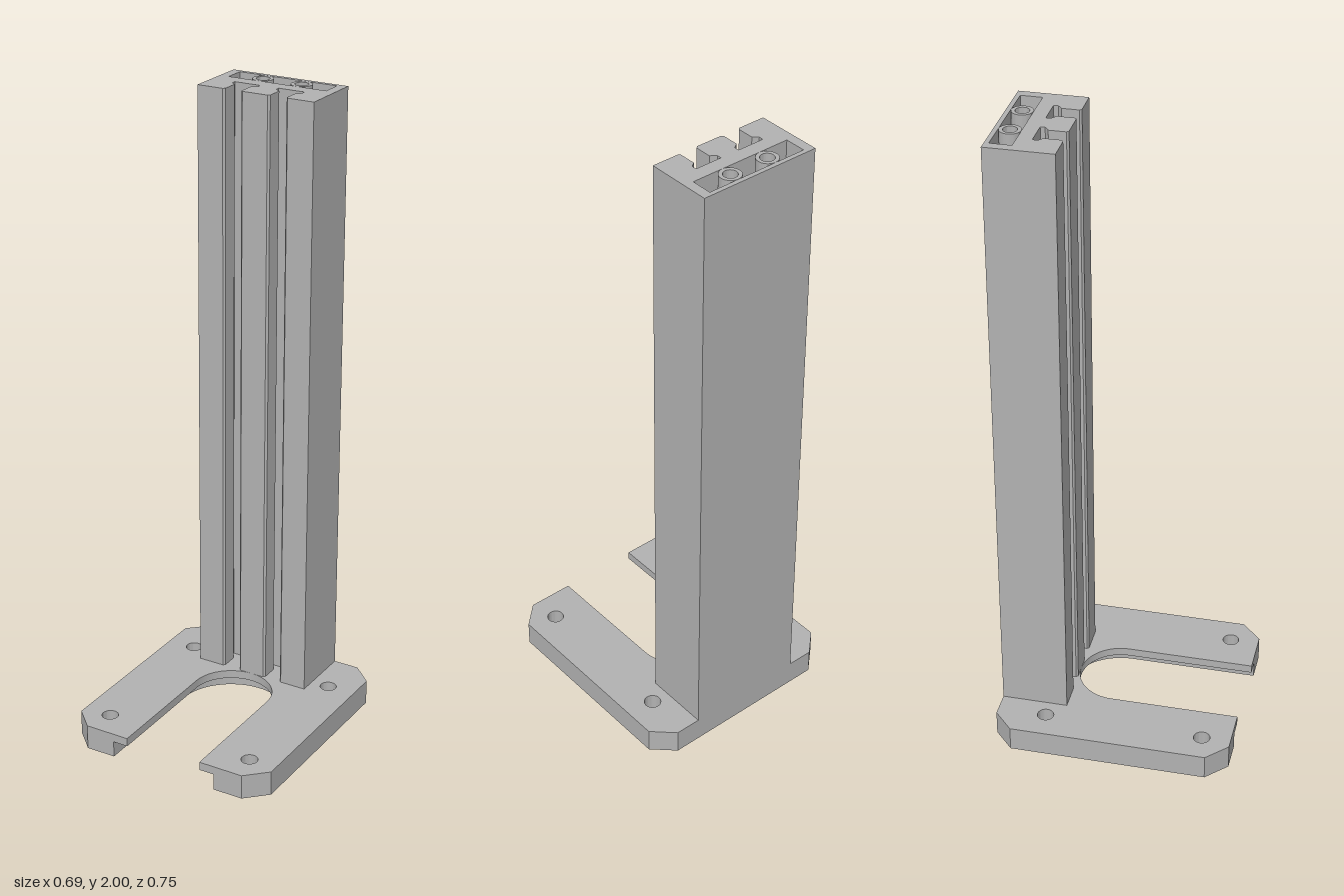
import * as THREE from 'three';
import { mergeGeometries, toCreasedNormals } from 'three/addons/utils/BufferGeometryUtils.js';

// Plan points are [x, s] with s = -z. Outlines run anticlockwise seen from above.
const V = (list) => list.map(([x, s]) => new THREE.Vector2(x, s));

function arc(x, s, r, from = 0, to = Math.PI * 2, n = 40) {
  const pts = [];
  for (let i = 0; i <= n; i++) {
    const a = from + ((to - from) * i) / n;
    pts.push([x + r * Math.cos(a), s + r * Math.sin(a)]);
  }
  return pts;
}
const circle = (x, s, r) => arc(x, s, r).slice(0, -1);
const rev = (pts) => [...pts].reverse();

// Upright wall along a path; it faces the right-hand side of travel
function wall(pts, y0, y1, closed = true) {
  const pos = [];
  const count = closed ? pts.length : pts.length - 1;
  for (let i = 0; i < count; i++) {
    const [ax, as] = pts[i], [bx, bs] = pts[(i + 1) % pts.length];
    pos.push(ax, y0, -as, bx, y0, -bs, bx, y1, -bs);
    pos.push(ax, y0, -as, bx, y1, -bs, ax, y1, -as);
  }
  const g = new THREE.BufferGeometry();
  g.setAttribute('position', new THREE.Float32BufferAttribute(pos, 3));
  return g;
}

// Level face with holes, facing up or down
function cap(pts, y, holes = [], down = false) {
  const shape = new THREE.Shape(V(pts));
  shape.holes = holes.map((h) => new THREE.Path(V(h)));
  const g = new THREE.ShapeGeometry(shape);
  if (down) g.setIndex(Array.from(g.index.array).reverse());
  const flat = g.rotateX(-Math.PI / 2).translate(0, y, 0).toNonIndexed();
  flat.deleteAttribute('uv');
  flat.deleteAttribute('normal');
  return flat;
}

export function createModel() {
  const model = new THREE.Group();
  const grey = new THREE.MeshStandardMaterial({ color: 0xb2b2b2 });
  grey.name = 'grey plastic';
  const add = (name, parts) => {
    const mesh = new THREE.Mesh(toCreasedNormals(mergeGeometries(parts), 0.5), grey);
    mesh.name = name;
    model.add(mesh);
  };

  // Base plate: chamfered corners, stepped U-shaped slot, four screw holes
  const F = -0.374, B = 0.374, W = 0.343, top = 0.08, ledge = 0.053;
  const narrow = 0.13, wide = 0.18;
  const slot = (r) => [[r, F], ...arc(0, 0.035, r, 0, Math.PI), [-r, F]];
  const rim = [[0.277, F], [W, -0.31], [W, 0.312], [0.277, B],
    [-0.277, B], [-W, 0.312], [-W, -0.31], [-0.277, F]];
  const screwHoles = [];
  for (const x of [-0.252, 0.252]) for (const s of [0.22, -0.283]) screwHoles.push(circle(x, s, 0.026));
  add('basePlate', [
    cap([...rim, ...rev(slot(narrow))], top, screwHoles),
    cap([...rim, ...rev(slot(wide))], 0, screwHoles, true),
    cap([...slot(wide), ...rev(slot(narrow))], ledge, [], true),
    wall([[wide, F], ...rim, [-wide, F]], 0, top, false),
    wall([[narrow, F], [wide, F]], ledge, top, false),
    wall([[-wide, F], [-narrow, F]], ledge, top, false),
    wall(rev(slot(wide)), 0, ledge, false),
    wall(rev(slot(narrow)), ledge, top, false),
    ...screwHoles.map((h) => wall(rev(h), 0, top)),
  ]);

  // Column with two T-shaped channels in its front
  const front = 0.165, half = 0.194, H = 2;
  const channel = [[-0.108, front], [-0.102, front + 0.006], [-0.102, 0.223], [-0.113, 0.231],
    [-0.117, 0.236], [-0.117, 0.25], [-0.031, 0.25], [-0.031, 0.236], [-0.036, 0.231],
    [-0.048, 0.223], [-0.048, front + 0.006], [-0.042, front]];
  const mirrored = rev(channel.map(([x, s]) => [-x, s]));
  const outline = [[-half, front], ...channel, ...mirrored, [half, front], [half, B], [-half, B]];

  // Socket sunk in the column top, with pin holes in its floor
  const floor = H - 0.06, pinEnd = floor - 0.04;
  const socket = [[-0.164, 0.294], [0.164, 0.294], [0.164, 0.36], [-0.164, 0.36]];
  const pins = [-0.13, 0, 0.13].map((x) => circle(x, 0.327, 0.017));
  add('column', [
    wall(outline, top, H),
    cap(outline, H, [socket]),
    wall(rev(socket), floor, H),
    cap(socket, floor, pins),
    ...pins.flatMap((p) => [wall(rev(p), pinEnd, floor), cap(p, pinEnd)]),
  ]);

  // Tubes standing in the socket
  for (const x of [-0.065, 0.065]) {
    const outer = circle(x, 0.327, 0.0325), inner = circle(x, 0.327, 0.021);
    add('socketTube', [wall(outer, floor, H), wall(rev(inner), floor, H), cap(outer, H, [inner])]);
  }
  return model;
}
